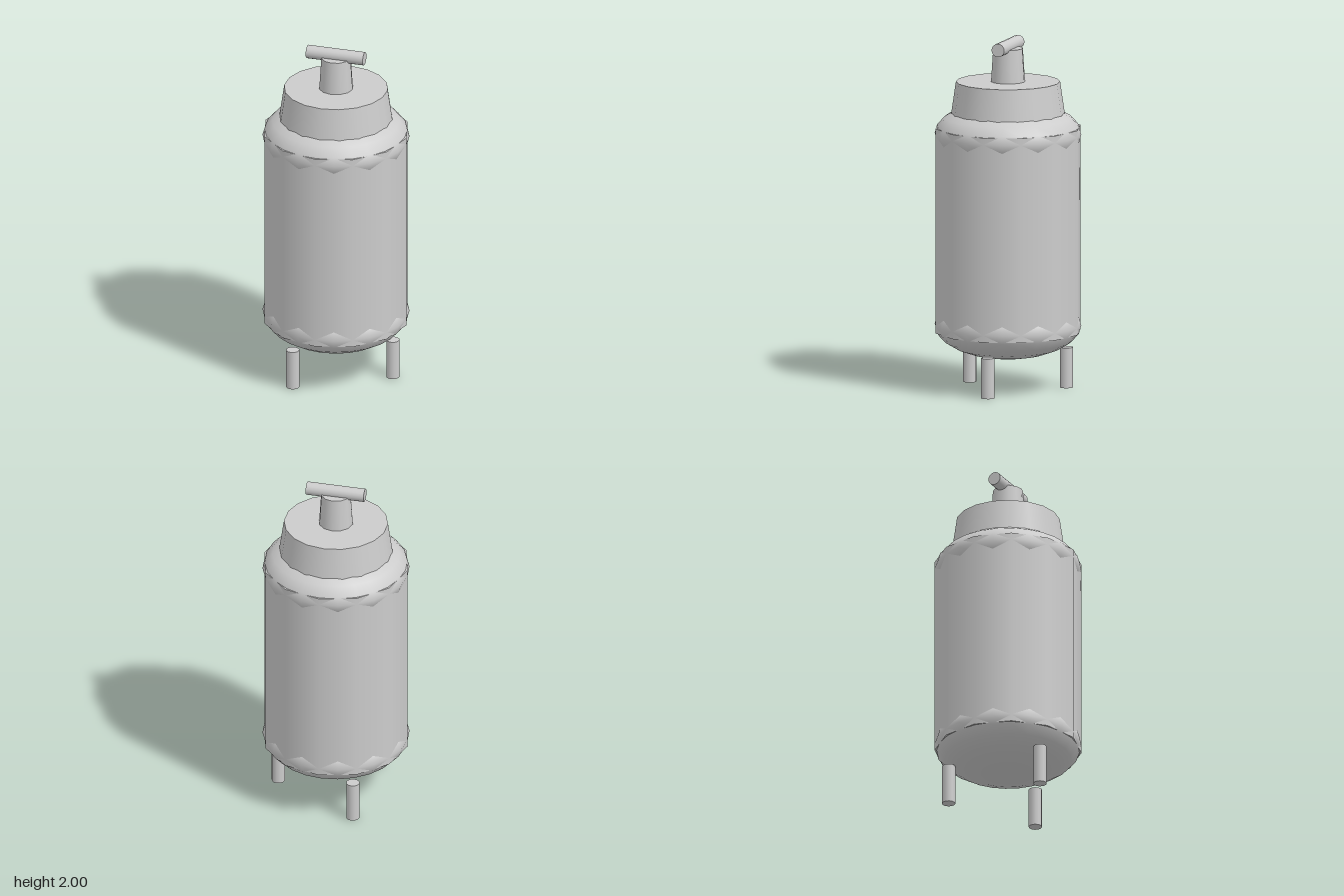
import * as THREE from 'three';

export function createModel() {
  const group = new THREE.Group();
  const grey = new THREE.MeshStandardMaterial({ color: 0xcccccc });
  grey.name = 'light grey';

  const add = (name, geometry, x, y, z) => {
    const mesh = new THREE.Mesh(geometry, grey);
    mesh.name = name;
    mesh.position.set(x, y, z);
    group.add(mesh);
    return mesh;
  };

  // upright tapered cylinder between two heights
  const drum = (name, rTop, rBottom, y0, y1, sides, x = 0, z = 0) =>
    add(name, new THREE.CylinderGeometry(rTop, rBottom, y1 - y0, sides), x, (y0 + y1) / 2, z);

  // tank wall, coarser than the domes so their rims break through it
  drum('tankBody', 0.415, 0.415, 0.33, 1.5, 12);

  // flattened spherical ends
  for (const [name, y] of [['bottomDome', 0.37], ['topDome', 1.46]]) {
    const dome = new THREE.SphereGeometry(0.415, 24, 12);
    dome.scale(1, 0.19 / 0.415, 1);
    add(name, dome, 0, y, 0);
  }

  // collar, valve neck and cross handle
  drum('collar', 0.294, 0.323, 1.56, 1.76, 18);
  drum('valveNeck', 0.085, 0.098, 1.75, 1.95, 12);
  const handle = new THREE.CylinderGeometry(0.038, 0.038, 0.336, 16);
  handle.rotateZ(Math.PI / 2);
  add('handle', handle, 0, 1.962, 0);

  // three legs, one on the left side
  for (let i = 0; i < 3; i++) {
    const a = (i * Math.PI * 2) / 3;
    drum('leg' + (i + 1), 0.038, 0.038, 0, 0.23, 12, 0.335 * Math.cos(a), 0.335 * Math.sin(a));
  }

  return group;
}
